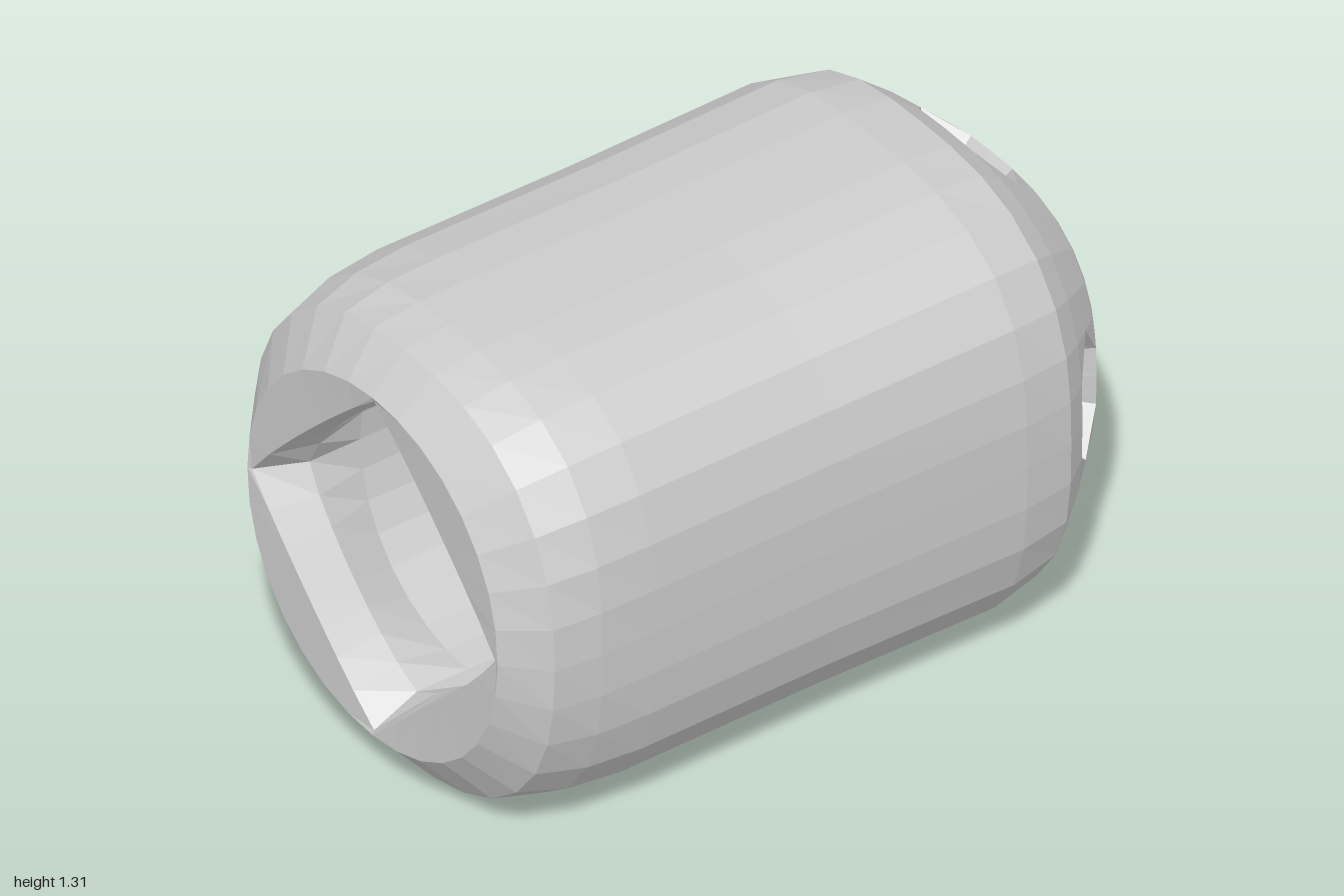
import * as THREE from 'three';

const SIDES = 32;
const CENTRE_Y = 0.655;

// Cross-section: half-width h, exponent n (1 diamond, 2 circle, 3 rounded square)
function ring([z, h, n]) {
  return Array.from({ length: SIDES }, (_, j) => {
    const a = (j / SIDES) * Math.PI * 2;
    const c = Math.cos(a), s = Math.sin(a);
    const r = h / Math.pow(Math.abs(c) ** n + Math.abs(s) ** n, 1 / n);
    return [r * c, CENTRE_Y + r * s, z];
  });
}

const at = (r, j) => r[(j + SIDES) % SIDES];

function makeMesh(name, triangles) {
  const geometry = new THREE.BufferGeometry();
  geometry.setAttribute('position', new THREE.Float32BufferAttribute(triangles.flat(2), 3));
  geometry.computeVertexNormals();
  const mesh = new THREE.Mesh(geometry,
    new THREE.MeshStandardMaterial({ color: 0xcccccc, flatShading: true }));
  mesh.name = name;
  return mesh;
}

// Skin the rings, leaving four hexagonal gaps across rings slot .. slot + 2
function loft(rings, slot) {
  const tris = [];
  for (let i = 0; i < rings.length - 1; i++) {
    for (let j = 0; j < SIDES; j++) {
      const a = at(rings[i], j), b = at(rings[i], j + 1);
      const c = at(rings[i + 1], j + 1), d = at(rings[i + 1], j);
      const k = ((j + 4) % 8) - 4;
      const first = i === slot, second = i === slot + 1;
      if ((first || second) && k >= -2 && k <= 1) {
        if (k === 1) tris.push(first ? [a, b, c] : [b, c, d]);
        if (k === -2) tris.push(first ? [a, b, d] : [a, c, d]);
      } else {
        tris.push([a, b, c], [a, c, d]);
      }
    }
  }
  return tris;
}

export function createModel() {
  const group = new THREE.Group();
  group.name = 'slottedSleeve';

  // Outer skin, from the back rim to the front face; corners ease off towards both ends
  const outer = [
    [-1, 0.38, 2.4], [-0.955, 0.445, 2.6], [-0.885, 0.51, 2.65], [-0.81, 0.58, 2.65],
    [-0.73, 0.64, 2.7], [-0.58, 0.655, 2.95], [0, 0.647, 3], [0.6, 0.653, 2.95],
    [0.76, 0.653, 2.7], [0.9, 0.638, 2.35], [1, 0.53, 2.05],
  ].map(ring);
  const outerSlot = 1;

  // Front face with its diamond mouth, the bore, then the narrow back opening
  const inner = [
    [1, 0.53, 2.05], [0.995, 0.517, 1.07], [0.86, 0.455, 1.25], [0.7, 0.455, 2],
    [-0.68, 0.46, 2], [-0.76, 0.46, 2], [-0.81, 0.42, 2], [-0.845, 0.35, 2],
    [-0.9, 0.31, 2], [-0.97, 0.33, 2], [-1, 0.38, 2.4],
  ].map(ring);
  const innerSlot = 5;

  group.add(makeMesh('outerShell', loft(outer, outerSlot)));
  group.add(makeMesh('bore', loft(inner, innerSlot)));

  // Walls of the four slots, joining the shell to the bore
  const outline = [[0, -1], [0, 0], [0, 1], [1, 2], [2, 1], [2, 0], [2, -1], [1, -2]];
  ['leftSlot', 'topSlot', 'rightSlot', 'bottomSlot'].forEach((name, q) => {
    const tris = [];
    outline.forEach(([row, col], m) => {
      const [row2, col2] = outline[(m + 1) % outline.length];
      const a = at(outer[outerSlot + row], q * 8 + col);
      const b = at(outer[outerSlot + row2], q * 8 + col2);
      const c = at(inner[innerSlot + 2 - row2], q * 8 + col2);
      const d = at(inner[innerSlot + 2 - row], q * 8 + col);
      tris.push([a, b, c], [a, c, d]);
    });
    group.add(makeMesh(name, tris));
  });
  return group;
}
